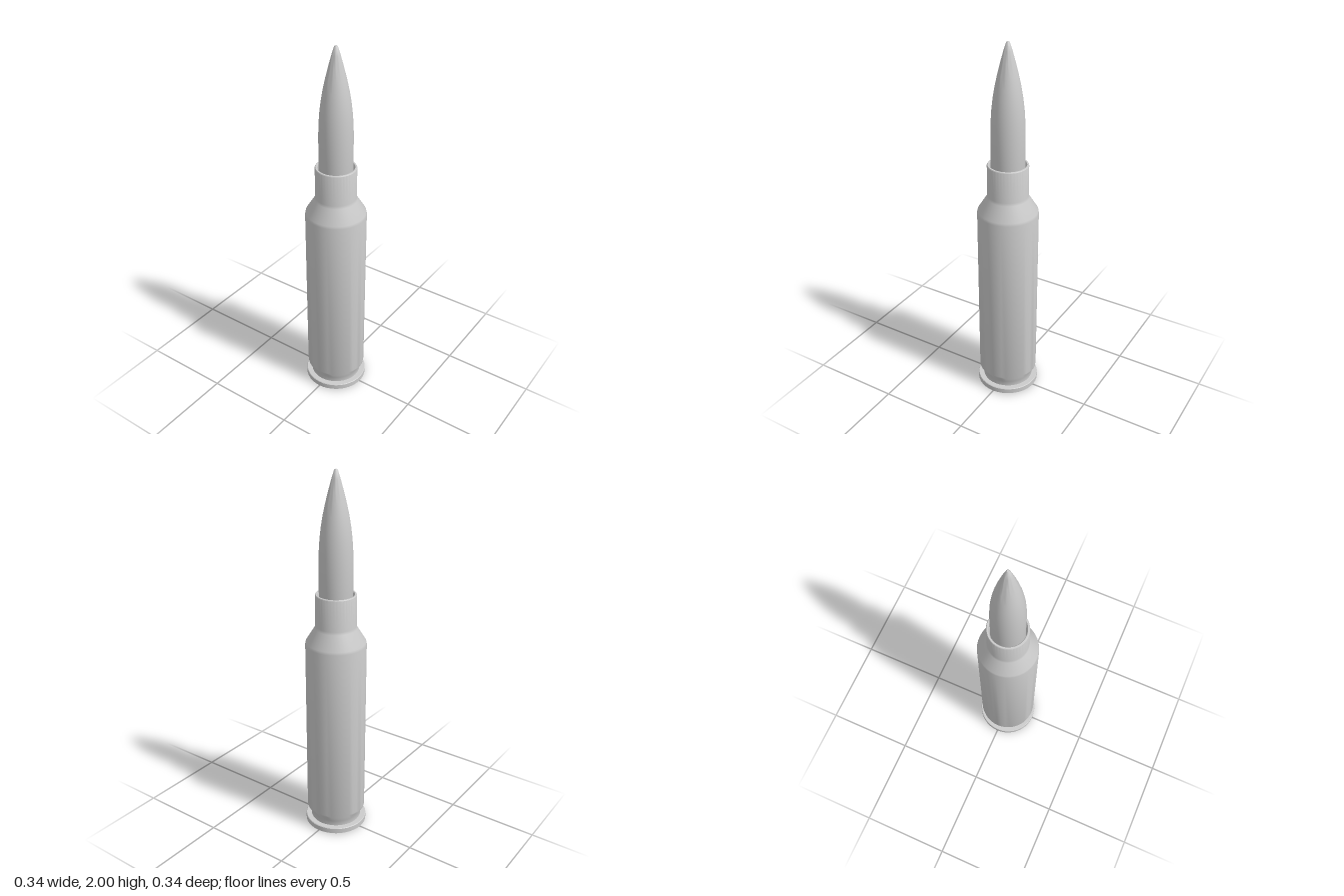
import * as THREE from 'three';
import { toCreasedNormals } from 'three/addons/utils/BufferGeometryUtils.js';

const SEGMENTS = 40;
const material = new THREE.MeshStandardMaterial({ color: 0xcccccc, side: THREE.DoubleSide });

// Turn a [radius, height] profile, running up the outside, into a named mesh.
function turned(name, profile) {
  const points = profile.map(([r, y]) => new THREE.Vector2(r, y));
  const geometry = toCreasedNormals(new THREE.LatheGeometry(points, SEGMENTS), 0.65);
  const mesh = new THREE.Mesh(geometry, material);
  mesh.name = name;
  return mesh;
}

export function createModel() {
  const group = new THREE.Group();
  group.name = 'cartridge';

  // Case: recessed base, rim, extractor groove, body, shoulder, open neck
  group.add(turned('case', [
    [0.08, 0.03], [0.095, 0.02], [0.105, 0.005], [0.115, 0],
    [0.165, 0], [0.171, 0.005], [0.171, 0.033], [0.168, 0.036],
    [0.14, 0.036], [0.14, 0.065], [0.161, 0.1],
    [0.162, 0.11], [0.162, 1.095], [0.159, 1.11],
    [0.112, 1.185], [0.108, 1.2], [0.108, 1.366], [0.105, 1.37],
    [0.098, 1.37], [0.095, 1.366], [0.095, 1.2], [0.08, 1.2],
  ]));

  // Primer: shallow cap with a dimple, seated in the base
  group.add(turned('primer', [
    [0, 0.022], [0.03, 0.02], [0.042, 0.01], [0.065, 0.01],
    [0.075, 0.016], [0.08, 0.03],
  ]));

  // Bullet: straight shank with a curved nose and a tiny blunt tip
  group.add(turned('bullet', [
    [0, 1.2], [0.083, 1.2], [0.088, 1.22], [0.088, 1.54],
    [0.086, 1.6], [0.082, 1.66], [0.075, 1.72], [0.065, 1.78],
    [0.052, 1.84], [0.037, 1.9], [0.022, 1.955], [0.01, 1.993],
    [0.006, 1.999], [0, 2],
  ]));

  return group;
}
